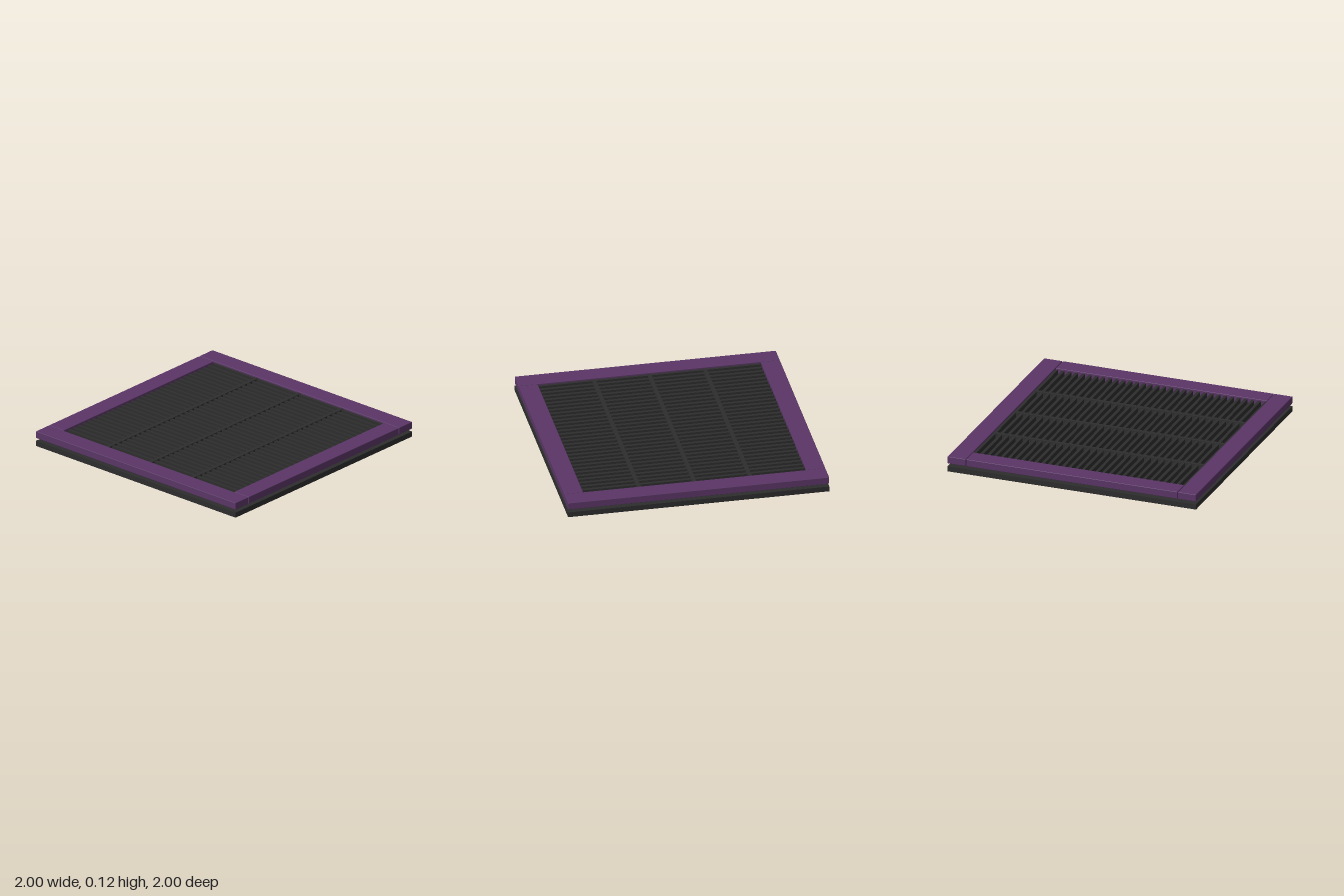
import * as THREE from 'three';
import { RoundedBoxGeometry } from 'three/addons/geometries/RoundedBoxGeometry.js';

export function createModel() {
  const model = new THREE.Group();
  model.name = 'floorGrate';

  const material = (name, color) => {
    const m = new THREE.MeshStandardMaterial({ color });
    m.name = name;
    return m;
  };
  const purple = material('purple frame', 0x5a3566);
  const darkGrey = material('dark grey metal', 0x2d2d2d);
  const paleBlue = material('pale blue light', 0xa6c1d6);

  // Adds a box spanning y0..y1, centred on x and z; a bevel rounds its edges
  const slab = (parent, name, mat, [w, d], [y0, y1], [x, z], bevel = 0) => {
    const h = y1 - y0;
    const geometry = bevel
      ? new RoundedBoxGeometry(w, h, d, 1, bevel)
      : new THREE.BoxGeometry(w, h, d);
    const mesh = new THREE.Mesh(geometry, mat);
    mesh.name = name;
    mesh.position.set(x, (y0 + y1) / 2, z);
    parent.add(mesh);
  };
  const group = (name) => {
    const g = new THREE.Group();
    g.name = name;
    model.add(g);
    return g;
  };

  // Base plate with light strips lying on it
  slab(model, 'basePlate', darkGrey, [2, 2], [0, 0.041], [0, 0]);
  const lights = group('lightStrips');
  for (const x of [-0.55, 0, 0.55]) {
    slab(lights, 'lightStrip', paleBlue, [0.03, 1.66], [0.039, 0.046], [x, 0]);
  }

  // Raised frame: full-length side rails, end rails fitted between them
  const frame = group('frame');
  for (const s of [1, -1]) {
    slab(frame, s > 0 ? 'leftRail' : 'rightRail', purple,
      [0.146, 2], [0.064, 0.12], [s * 0.927, 0], 0.004);
    slab(frame, s > 0 ? 'frontRail' : 'backRail', purple,
      [1.7, 0.146], [0.064, 0.12], [0, s * 0.927], 0.004);
  }

  // Narrow grate slats running front to back
  const slats = group('slats');
  const count = 32;
  const pitch = 0.0545;
  for (let i = 0; i < count; i++) {
    const x = (i - (count - 1) / 2) * pitch;
    slab(slats, 'slat', darkGrey, [0.024, 1.71], [0.066, 0.107], [x, 0]);
  }

  // Cross bars tying the slats together
  const bars = group('crossBars');
  for (const z of [-0.425, 0, 0.425]) {
    slab(bars, 'crossBar', darkGrey, [1.71, 0.03], [0.058, 0.11], [0, z]);
  }

  return model;
}
